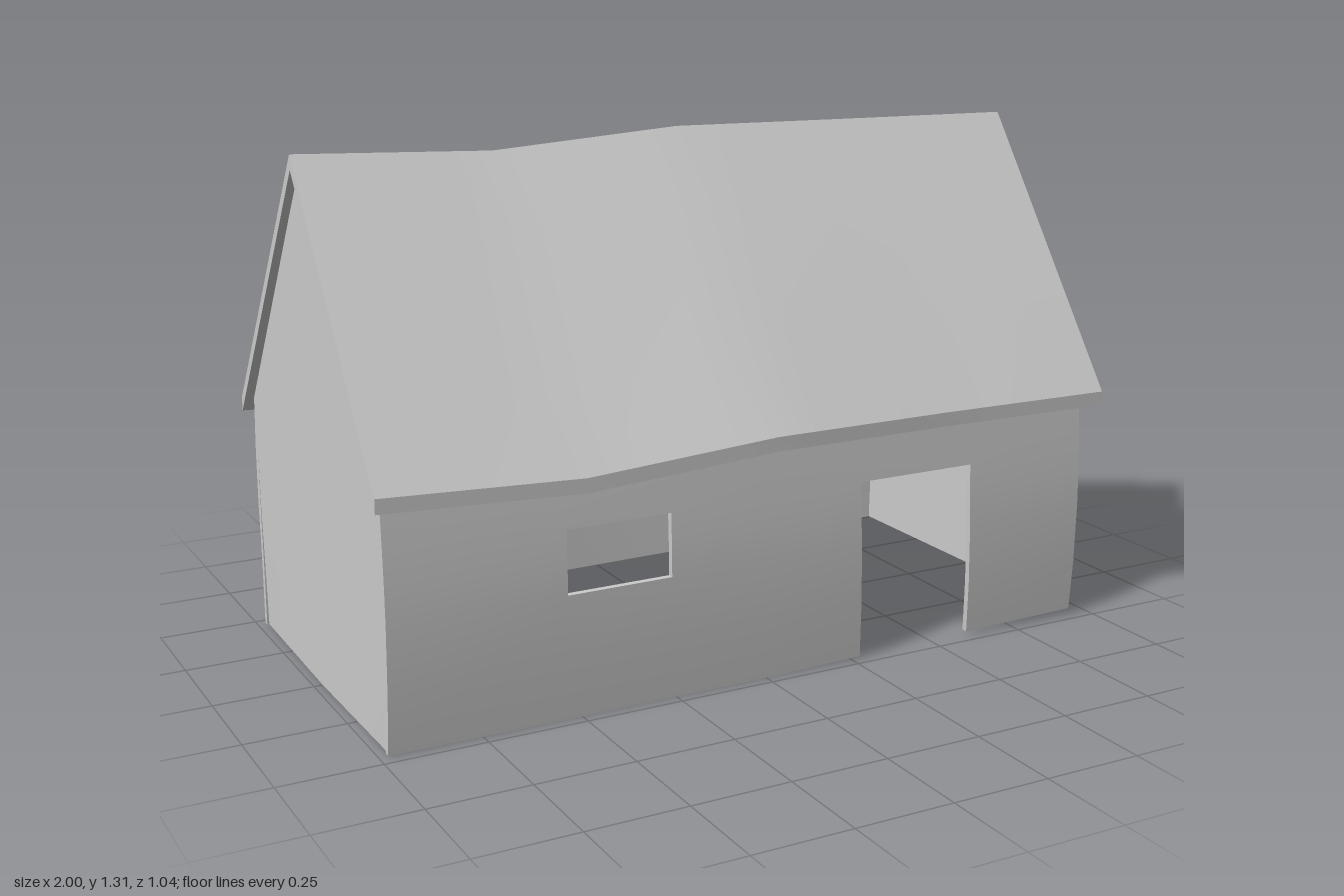
import * as THREE from 'three';
import { toCreasedNormals } from 'three/addons/utils/BufferGeometryUtils.js';

const material = new THREE.MeshStandardMaterial({ color: 0xcccccc });
const THICK = 0.016;

// piecewise linear lookup over five stations x = -1, -0.5, 0, 0.5, 1
function along(values, x) {
  const t = THREE.MathUtils.clamp((x + 1) * 2, 0, 3.9999);
  const i = Math.floor(t);
  return THREE.MathUtils.lerp(values[i], values[i + 1], t - i);
}
const sag = (x) => along([0, -0.02, 0.013, 0.006, 0], x);
const base = (x) => along([0.01, 0.007, 0.007, 0.017, 0.025], x);

function makeMesh(name, positions, index) {
  const geometry = new THREE.BufferGeometry();
  geometry.setAttribute('position', new THREE.Float32BufferAttribute(positions, 3));
  geometry.setIndex(index);
  const mesh = new THREE.Mesh(toCreasedNormals(geometry, 0.6), material);
  mesh.name = name;
  return mesh;
}

// thick wall on a grid; u x v points outwards, isOpen(u, v) cuts cells out
function wall(name, us, vs, point, inward, isOpen = () => false) {
  const positions = [], index = [];
  const cols = us.length, rows = vs.length, count = cols * rows;
  for (let side = 0; side < 2; side++) {
    for (const v of vs) for (const u of us) {
      const p = point(u, v);
      positions.push(...p.map((c, k) => c + inward[k] * THICK * side));
    }
  }
  const solid = (i, j) => i >= 0 && j >= 0 && i < cols - 1 && j < rows - 1 &&
    !isOpen((us[i] + us[i + 1]) / 2, (vs[j] + vs[j + 1]) / 2);
  const quad = (a, b, c, d) => index.push(a, b, c, a, c, d);
  for (let j = 0; j < rows - 1; j++) for (let i = 0; i < cols - 1; i++) {
    if (!solid(i, j)) continue;
    const a = j * cols + i, b = a + 1, c = b + cols, d = a + cols;
    quad(a, b, c, d);
    quad(d + count, c + count, b + count, a + count);
    // rims around the outline and the openings
    const rim = (p, q) => quad(q, p, p + count, q + count);
    if (!solid(i, j - 1)) rim(a, b);
    if (!solid(i + 1, j)) rim(b, c);
    if (!solid(i, j + 1)) rim(c, d);
    if (!solid(i - 1, j)) rim(d, a);
  }
  return makeMesh(name, positions, index);
}

const inside = (u, v, u0, u1, v0, v1) => u > u0 && u < u1 && v > v0 && v < v1;
const wallY = (x, v) => (v === 0 ? base(x) : v > 0.6 ? v + sag(x) : v);
const bow = (v) => 0.47 + 0.015 * Math.sin(Math.PI * Math.min(1, v / 0.62));

function frontWall() {
  return wall('frontWall',
    [-0.98, -0.75, -0.54, -0.27, 0, 0.26, 0.59, 0.77, 0.94],
    [0, 0.16, 0.318, 0.4, 0.475, 0.55, 0.625],
    (x, v) => {
      const lean = x > 0.2 && x < 0.7 ? 0.014 * Math.max(0, 1 - v / 0.4) : 0;
      return [x + lean, wallY(x, v), bow(v)];
    },
    [0, 0, -1],
    (x, v) => inside(x, v, -0.54, -0.27, 0.318, 0.475) || inside(x, v, 0.26, 0.59, 0, 0.475));
}

function backWall() {
  return wall('backWall',
    [-0.94, -0.7, -0.5, -0.3, -0.14, 0.12, 0.35, 0.55, 0.75, 0.98],
    [0, 0.16, 0.315, 0.4, 0.48, 0.55, 0.625],
    (u, v) => {
      const x = -u;
      const bulge = along([0, 0.024, 0.032, 0.012, 0], x) * Math.min(1, (0.625 - v) / 0.2);
      return [x, wallY(x, v), -(0.465 + (bow(v) - 0.47) * 0.7 + bulge + 0.008 * (v < 0.1 ? 1 : 0))];
    },
    [0, 0, 1],
    (u, v) => inside(u, v, -0.14, 0.12, 0.315, 0.48));
}

// gable end: side is +1 or -1, grid columns include the ridge
function gable(name, side) {
  const edge = side > 0 ? 0.94 : -0.98;
  return wall(name, [-1, -0.5, 0, 0.5, 1], [0, 0.16, 0.32, 0.48, 0.625, 0.8, 1],
    (u, v) => {
      const eave = 0.625;
      const peak = eave + 0.645 * (1 - Math.abs(u));
      const y = v <= eave ? (v === 0 ? base(edge) : v) : eave + (peak - eave) * (v - eave) / (1 - eave);
      const z = -side * u * bow(Math.min(v, 0.62));
      return [edge - side * 0.006 * Math.max(0, 1 - v / 0.4) * Math.abs(u), y, z];
    },
    [-side, 0, 0]);
}

// bent roof slab lofted along x through a chevron cross-section
function roof() {
  const positions = [], index = [];
  const stations = 17, steps = 4, thick = 0.036;
  const ring = 2 * (2 * steps + 1);
  for (let s = 0; s < stations; s++) {
    const x = -1 + (2 * s) / (stations - 1);
    const front = along([0.5, 0.512, 0.518, 0.495, 0.49], x);
    const back = along([0.512, 0.502, 0.498, 0.515, 0.522], x);
    const row = [];
    for (let k = -steps; k <= steps; k++) {
      const t = k / steps;
      row.push([t < 0 ? t * back : t * front, 1.304 - 0.684 * Math.abs(t) + sag(x)]);
    }
    for (const [z, y] of row) positions.push(x, y, z);
    for (const [z, y] of row.reverse()) positions.push(x, y - thick, z);
  }
  for (let s = 0; s < stations - 1; s++) for (let k = 0; k < ring; k++) {
    const a = s * ring + k, b = s * ring + ((k + 1) % ring);
    index.push(a, b, b + ring, a, b + ring, a + ring);
  }
  // end caps
  const last = (stations - 1) * ring;
  for (let k = 0; k < 2 * steps; k++) {
    const a = k, b = k + 1, c = ring - 2 - k, d = ring - 1 - k;
    index.push(a, d, c, a, c, b);
    index.push(last + a, last + b, last + c, last + a, last + c, last + d);
  }
  return makeMesh('roof', positions, index);
}

export function createModel() {
  const house = new THREE.Group();
  house.name = 'house';
  house.add(frontWall(), backWall(), gable('leftGable', 1), gable('rightGable', -1), roof());
  return house;
}
